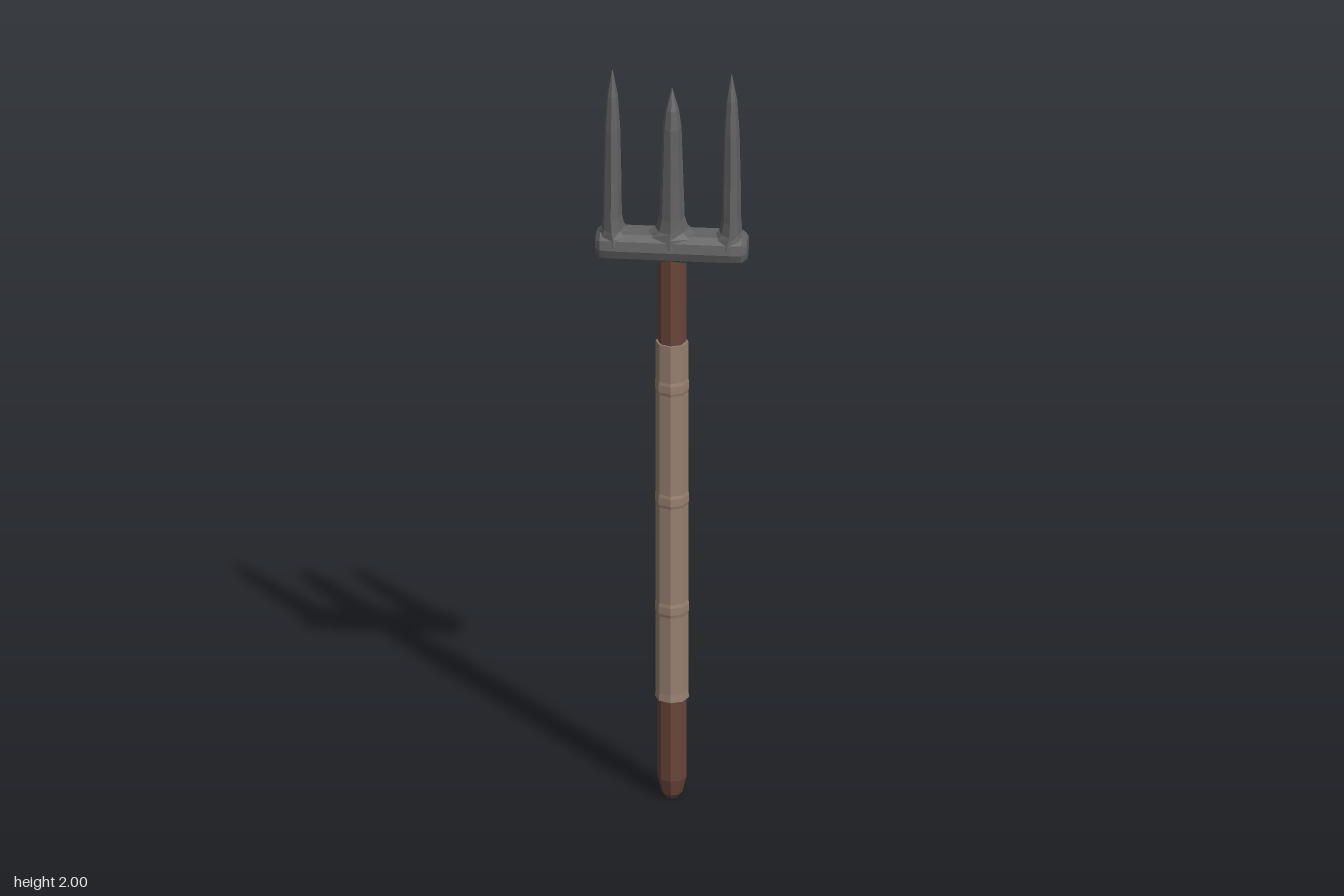
import * as THREE from 'three';

const paint = (color) => new THREE.MeshStandardMaterial({ color, flatShading: true, side: THREE.DoubleSide });
const metal = paint(0x626262);
const wood = paint(0x68453a);
const wrap = paint(0x978070);

// Unit octagon, corners on the axes, counter-clockwise from above
const octagon = Array.from({ length: 8 }, (_, i) => {
  const a = (i * Math.PI) / 4;
  return [Math.cos(a), -Math.sin(a)];
});

// Skins rings [y, xCentre, xRadius, zRadius] of a section along y, closing both ends
function loft(rings, section = octagon) {
  const n = section.length;
  const all = [[rings[0][0], rings[0][1], 0, 0], ...rings];
  const last = rings[rings.length - 1];
  all.push([last[0], last[1], 0, 0]);
  const pos = [];
  const index = [];
  for (const [y, cx, rx, rz] of all) for (const [u, v] of section) pos.push(cx + u * rx, y, v * rz);
  for (let i = 0; i < all.length - 1; i++) {
    for (let j = 0; j < n; j++) {
      const a = i * n + j, b = i * n + ((j + 1) % n);
      if (all[i][2] > 0) index.push(a, b, b + n);
      if (all[i + 1][2] > 0) index.push(a, b + n, a + n);
    }
  }
  const g = new THREE.BufferGeometry();
  g.setAttribute('position', new THREE.Float32BufferAttribute(pos, 3));
  g.setIndex(index);
  g.computeVertexNormals();
  return g;
}

export function createModel() {
  const model = new THREE.Group();
  model.name = 'gardenFork';
  const add = (name, geometry, material, parent = model) => {
    const mesh = new THREE.Mesh(geometry, material);
    mesh.name = name;
    parent.add(mesh);
    return mesh;
  };
  const round = ([y, r]) => [y, 0, r, r];

  // Wooden shaft with a rounded butt
  add('shaft', loft([[0.005, 0.016], [0.018, 0.026], [0.06, 0.036], [1.5, 0.036]].map(round)), wood);

  // Wrapped grip with faint ridges
  const grip = [[0.28, 0.043], [0.3, 0.041]];
  for (const y of [0.53, 0.83, 1.14]) grip.push([y - 0.018, 0.041], [y - 0.01, 0.043], [y + 0.01, 0.043], [y + 0.018, 0.041]);
  grip.push([1.26, 0.041]);
  add('grip', loft(grip.map(round)), wrap);

  const head = new THREE.Group();
  head.name = 'head';
  model.add(head);

  // Crossbar: faceted section with chamfered ends, lofted upright then laid along x
  const barSection = [[1, 0.42], [0.6, 0.85], [0, 1], [-0.65, 0.9], [-1, 0.55]];
  const fullSection = [
    ...barSection.map(([u, v]) => [u, -v]),
    ...barSection.map(([u, v]) => [u, v]).reverse(),
  ];
  const bar = loft([
    [-0.19, 0, 0.027, 0.036], [-0.178, 0, 0.037, 0.05], [-0.15, 0, 0.038, 0.053],
    [0, 0, 0.038, 0.053],
    [0.15, 0, 0.038, 0.053], [0.178, 0, 0.037, 0.05], [0.19, 0, 0.027, 0.036],
  ], fullSection);
  bar.rotateZ(-Math.PI / 2);
  add('crossbar', bar, metal, head).position.y = 1.523;

  // Middle tine with flared foot
  add('middleTine', loft([
    [1.53, 0, 0.085, 0.053], [1.556, 0, 0.068, 0.049], [1.572, 0, 0.042, 0.046], [1.605, 0, 0.032, 0.043],
    [1.7, 0, 0.029, 0.038], [1.85, 0, 0.024, 0.034], [1.9, 0, 0.017, 0.024], [1.955, 0, 0.001, 0.001],
  ]), metal, head);

  // Outer tines, their feet spreading along the bar
  for (const s of [-1, 1]) {
    add(s > 0 ? 'leftTine' : 'rightTine', loft([
      [1.53, 0.142 * s, 0.046, 0.053], [1.552, 0.144 * s, 0.043, 0.049], [1.57, 0.148 * s, 0.029, 0.046],
      [1.605, 0.15 * s, 0.024, 0.043], [1.7, 0.15 * s, 0.023, 0.037], [1.84, 0.15 * s, 0.02, 0.032],
      [1.93, 0.15 * s, 0.014, 0.021], [2, 0.15 * s, 0.001, 0.001],
    ]), metal, head);
  }
  return model;
}
